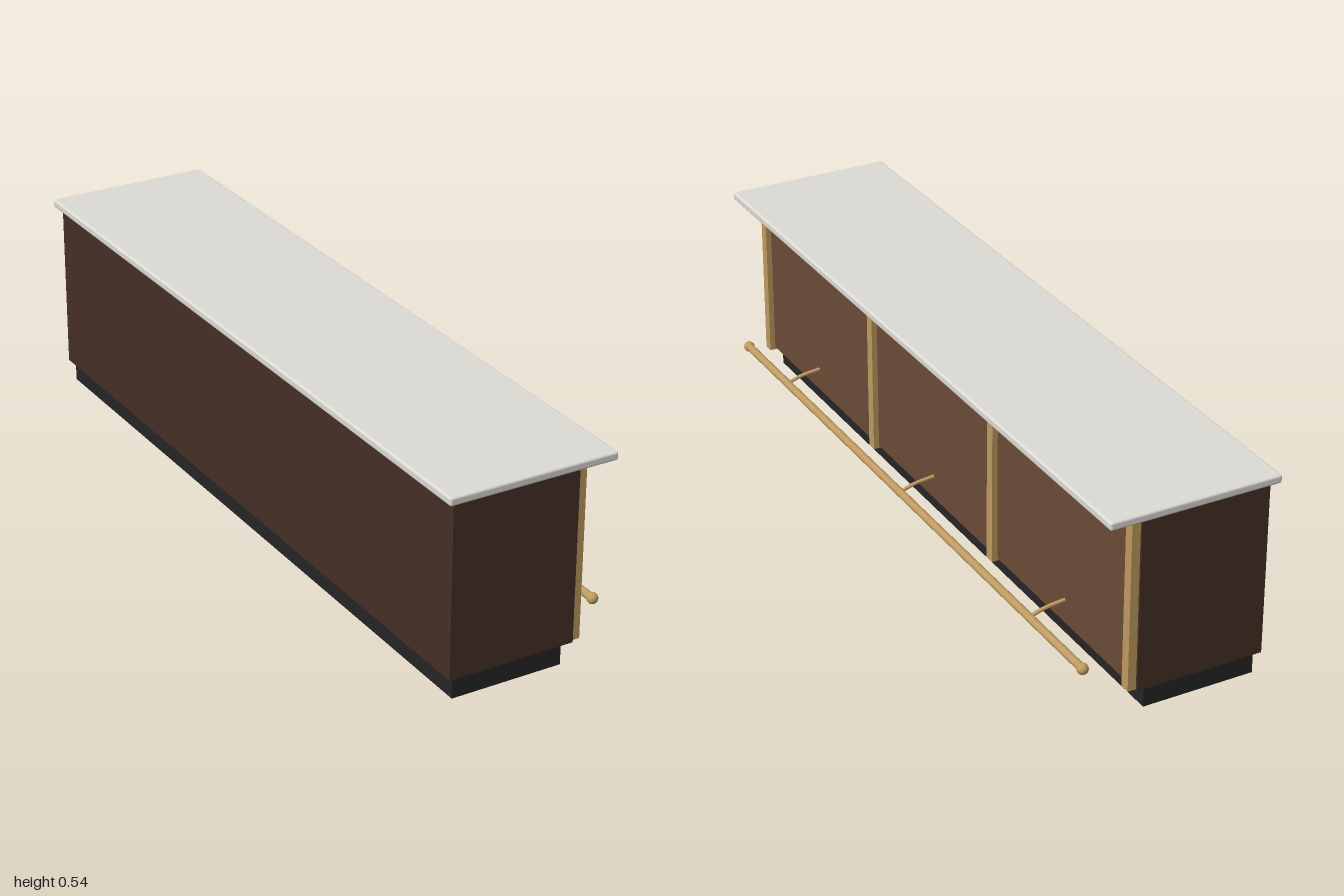
import * as THREE from 'three';
import { RoundedBoxGeometry } from 'three/addons/geometries/RoundedBoxGeometry.js';

const material = (name, color) => {
  const m = new THREE.MeshStandardMaterial({ color });
  m.name = name;
  return m;
};

export function createModel() {
  const darkWood = material('dark wood', 0x452f25);
  const panelWood = material('panel wood', 0x6b4a37);
  const black = material('plinth black', 0x252525);
  const brass = material('brass', 0xbf9b60);
  const stone = material('counter stone', 0xdddbd5);

  const model = new THREE.Group();
  model.name = 'barCounter';

  const add = (name, geometry, mat, x = 0, y = 0, z = 0) => {
    const mesh = new THREE.Mesh(geometry, mat);
    mesh.name = name;
    mesh.position.set(x, y, z);
    model.add(mesh);
    return mesh;
  };
  // Box given by its limits in x and y, its centre in z and its length
  const box = (name, mat, x0, x1, y0, y1, length, z = 0) =>
    add(name, new THREE.BoxGeometry(x1 - x0, y1 - y0, length), mat, (x0 + x1) / 2, (y0 + y1) / 2, z);

  // Cabinet on a recessed plinth
  box('plinth', black, -0.203, 0.095, 0, 0.06, 1.94);
  box('cabinet', darkWood, -0.218, 0.12, 0.058, 0.518, 1.964);

  // Counter top with eased edges
  add('counterTop', new RoundedBoxGeometry(0.45, 0.022, 2, 3, 0.006), stone, -0.013, 0.527, 0);

  // Customer side: panels between brass posts
  const postZ = [-0.963, -0.321, 0.321, 0.963];
  for (const z of postZ) box('post', brass, 0.119, 0.142, 0.06, 0.517, 0.027, z);
  for (const z of [-0.642, 0, 0.642]) box('frontPanel', panelWood, 0.119, 0.127, 0.067, 0.512, 0.616, z);

  // Strip under the overhang
  box('undersideStrip', brass, 0.172, 0.192, 0.511, 0.518, 1.9);

  // Foot rail with ball ends
  const railX = 0.223, railY = 0.11, railEnd = 0.91;
  add('footRail', new THREE.CylinderGeometry(0.0105, 0.0105, railEnd * 2, 20), brass, railX, railY, 0)
    .rotation.x = Math.PI / 2;
  for (const side of [-1, 1])
    add('railEnd', new THREE.SphereGeometry(0.0145, 20, 14), brass, railX, railY, side * railEnd);

  // Curved rail brackets
  const curve = new THREE.CatmullRomCurve3([
    new THREE.Vector3(0.12, 0.13, 0),
    new THREE.Vector3(0.15, 0.127, 0),
    new THREE.Vector3(0.185, 0.122, 0),
    new THREE.Vector3(railX, railY, 0),
  ]);
  const bracket = new THREE.TubeGeometry(curve, 16, 0.005, 10);
  for (const z of [-0.663, 0, 0.663]) add('railBracket', bracket, brass, 0, 0, z);

  return model;
}
